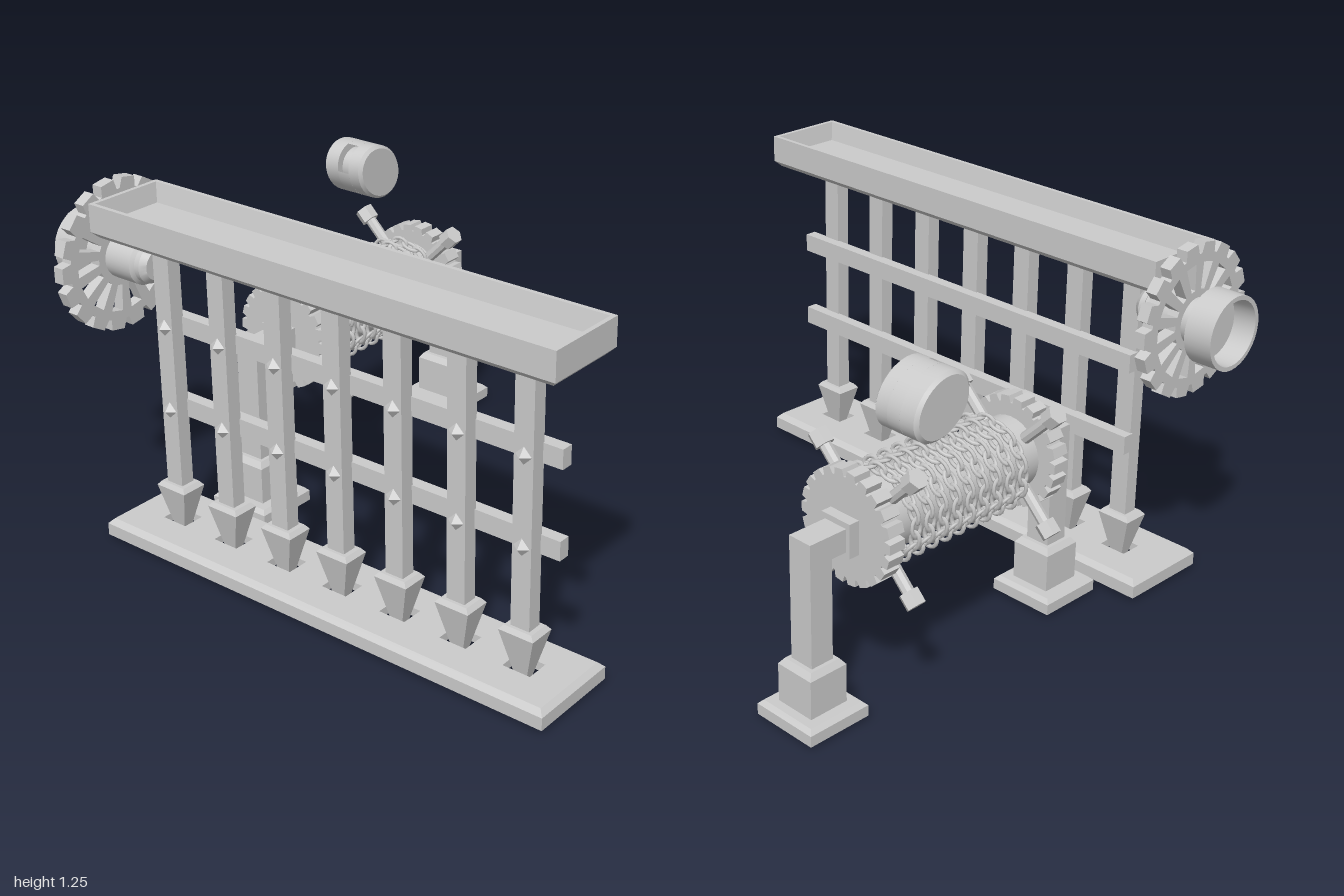
import * as THREE from 'three';
import { mergeGeometries, toCreasedNormals } from 'three/addons/utils/BufferGeometryUtils.js';

const smooth = new THREE.MeshStandardMaterial({ color: 0xcccccc });
const flat = new THREE.MeshStandardMaterial({ color: 0xcccccc, flatShading: true });

function add(parent, name, geo, x = 0, y = 0, z = 0, mat = flat) {
  const m = new THREE.Mesh(geo, mat);
  m.name = name;
  m.position.set(x, y, z);
  parent.add(m);
  return m;
}
const box = (w, h, d) => new THREE.BoxGeometry(w, h, d);
const lathe = (pts, n = 32) =>
  toCreasedNormals(new THREE.LatheGeometry(pts.map(p => new THREE.Vector2(...p)), n), 0.6);

// Stack of rectangular rings [width, depth, y] joined by flat sides
function rectLoft(rings) {
  const pos = [], sx = [1, 1, -1, -1], sz = [1, -1, -1, 1];
  const pt = (r, i) => [r[0] / 2 * sx[i % 4], r[2], r[1] / 2 * sz[i % 4]];
  for (let k = 0; k < rings.length - 1; k++) {
    const a = rings[k], b = rings[k + 1];
    for (let i = 0; i < 4; i++) {
      pos.push(...pt(a, i), ...pt(a, i + 1), ...pt(b, i + 1));
      pos.push(...pt(a, i), ...pt(b, i + 1), ...pt(b, i));
    }
  }
  const g = new THREE.BufferGeometry();
  g.setAttribute('position', new THREE.Float32BufferAttribute(pos, 3));
  g.computeVertexNormals();
  return g;
}

function polygon(points, Type = THREE.Shape) {
  return new Type(points.map(p => new THREE.Vector2(...p)));
}
const rect = (cx, w, h, Type) =>
  polygon([[cx - w / 2, -h / 2], [cx + w / 2, -h / 2], [cx + w / 2, h / 2], [cx - w / 2, h / 2]], Type);

// Chamfered plinth, hollow underneath, with optional square holes through the plate
function plinth(name, w, d, h, thick, c, rim, holeXs = []) {
  const g = new THREE.Group();
  g.name = name;
  add(g, name + 'Skirt', rectLoft([
    [w - rim * 4, d - rim * 4, h - thick], [w - rim * 2, d - rim * 2, 0],
    [w, d, 0], [w, d, h - c], [w - c * 2, d - c * 2, h]]));
  const s = rect(0, w - c * 2, d - c * 2);
  for (const x of holeXs) s.holes.push(rect(x, 0.1, 0.08, THREE.Path));
  const plate = new THREE.ExtrudeGeometry(s, { depth: thick, bevelEnabled: false });
  plate.rotateX(-Math.PI / 2);
  add(g, name + 'Plate', plate, 0, h - thick, 0);
  return g;
}

// Toothed disc in the XY plane, centred along z, with optional radial windows
function gear(n, rOut, rRoot, depth, windows = 0, w0 = 0, w1 = 0) {
  const at = (r, a) => [r * Math.cos(a), r * Math.sin(a)];
  const pts = [], step = Math.PI * 2 / n;
  for (let i = 0; i < n; i++)
    for (const [r, f] of [[rRoot, -0.42], [rOut, -0.3], [rOut, 0.3], [rRoot, 0.42]])
      pts.push(at(r, (i + f) * step));
  const s = polygon(pts);
  for (let i = 0; i < windows; i++) {
    const a = i / windows * Math.PI * 2, da = Math.PI / windows;
    s.holes.push(polygon([at(w0, a - da * 0.4), at(w1, a - da * 0.55),
      at(w1, a + da * 0.55), at(w0, a + da * 0.4)], THREE.Path));
  }
  const g = new THREE.ExtrudeGeometry(s, { depth, bevelEnabled: false });
  g.translate(0, 0, -depth / 2);
  return g;
}

function makeGate() {
  const gate = new THREE.Group();
  gate.name = 'gate';
  gate.position.z = 0.62;
  const xs = [...Array(7)].map((_, i) => -0.61 + i * 0.238);

  const sill = plinth('sill', 1.805, 0.33, 0.062, 0.03, 0.018, 0.02, xs.map(x => x - 0.0975));
  sill.position.set(0.0975, 0.016, 0);
  const beam = plinth('topBeam', 1.79, 0.295, 0.115, 0.05, 0.02, 0.015);
  beam.position.set(0.105, 1.215, 0);
  beam.rotation.x = Math.PI;
  gate.add(sill, beam);

  for (const x of xs) {
    add(gate, 'bar', box(0.068, 0.91, 0.052), x, 0.655, 0);
    add(gate, 'spike', rectLoft([[0, 0, 0], [0.022, 0.016, 0.002], [0.126, 0.096, 0.205],
      [0.1, 0.074, 0.22], [0, 0, 0.22]]), x, 0, 0);
    for (const y of [0.497, 0.795]) {
      const rivet = new THREE.ConeGeometry(0.03, 0.024, 4);
      rivet.rotateX(Math.PI / 2);
      add(gate, 'rivet', rivet, x, y, 0.037);
    }
  }
  for (const y of [0.497, 0.795]) add(gate, 'rail', box(1.57, 0.065, 0.042), 0.135, y, -0.042);
  return gate;
}

function makeWheel() {
  const wheel = new THREE.Group();
  wheel.name = 'gateWheel';
  wheel.position.set(0, 0.995, 0.62);
  const disc = gear(18, 0.26, 0.225, 0.04, 14, 0.105, 0.195);
  disc.rotateY(Math.PI / 2);
  add(wheel, 'toothedWheel', disc, -0.83);
  const shaft = lathe([[0, -0.92], [0.108, -0.92], [0.11, -1], [0.125, -1], [0.125, -0.9],
    [0.078, -0.9], [0.078, -0.7], [0.066, -0.69], [0.066, -0.67], [0.05, -0.65], [0, -0.65]]);
  shaft.rotateZ(-Math.PI / 2);
  add(wheel, 'hubAndCup', shaft, 0, 0, 0, smooth);
  return wheel;
}

// Helical chain made of alternating stretched links
function chainGeometry(radius, zStart, zEnd, turns, perTurn) {
  const links = [], n = turns * perTurn;
  for (let i = 0; i <= n; i++) {
    const a = -i / perTurn * Math.PI * 2;
    const N = new THREE.Vector3(Math.cos(a), Math.sin(a), 0);
    const T = new THREE.Vector3(Math.sin(a), -Math.cos(a), (zEnd - zStart) / (turns * Math.PI * 2 * radius)).normalize();
    const B = new THREE.Vector3().crossVectors(T, N);
    const m = i % 2 ? new THREE.Matrix4().makeBasis(T, N, B)
      : new THREE.Matrix4().makeBasis(T, B, N.clone().negate());
    m.setPosition(N.x * radius, N.y * radius, zStart + (zEnd - zStart) * i / n);
    const link = new THREE.TorusGeometry(0.018, 0.0065, 6, 12);
    link.scale(1.6, 1, 1);
    link.applyMatrix4(m);
    links.push(link);
  }
  return mergeGeometries(links);
}

function makeWinch() {
  const winch = new THREE.Group();
  winch.name = 'chainWinch';
  winch.position.set(-0.55, 0, -0.235);
  const cy = 0.607;

  const drum = new THREE.CylinderGeometry(0.122, 0.122, 0.7, 32);
  drum.rotateX(Math.PI / 2);
  add(winch, 'drum', drum, 0, cy, 0, smooth);
  add(winch, 'chain', chainGeometry(0.147, 0.26, -0.27, 9, 20), 0, cy, 0, smooth);

  for (const s of [1, -1]) {
    add(winch, 'drumGear', gear(22, 0.19, 0.168, 0.062), 0, cy, s * 0.36);
    add(winch, 'axleBlock', box(0.12, 0.115, 0.04), 0, cy - 0.01, s * 0.408);

    // Diagonal crank handles
    for (let k = 0; k < 4; k++) {
      const handle = new THREE.Group();
      handle.name = 'handle';
      add(handle, 'handleRod', new THREE.CylinderGeometry(0.02, 0.02, 0.18, 8), 0, 0.175, 0);
      add(handle, 'handleKnob', new THREE.CylinderGeometry(0.034, 0.034, 0.05, 6), 0, 0.277, 0);
      handle.position.set(0, cy, s * 0.303);
      handle.rotation.z = Math.PI / 4 + k * Math.PI / 2;
      winch.add(handle);
    }

    // Support: bent arm, socket and foot
    add(winch, 'arm', box(0.09, 0.078, 0.2), 0, 0.596, s * 0.47);
    add(winch, 'post', box(0.09, 0.435, 0.085), 0, 0.4175, s * 0.5275);
    add(winch, 'socket', rectLoft([[0.145, 0.145, 0.05], [0.145, 0.145, 0.195],
      [0.115, 0.115, 0.215], [0, 0, 0.215]]), 0, 0, s * 0.5275);
    const foot = plinth('foot', 0.24, 0.235, 0.052, 0.025, 0.014, 0.014);
    foot.position.set(0, 0.011, s * 0.5275);
    winch.add(foot);
  }
  return winch;
}

// Loose oval roller with a short notch in its side
function makeRoller() {
  const roller = new THREE.Group();
  roller.name = 'roller';
  const turn = g => { g.rotateZ(-Math.PI / 2); g.scale(1, 0.9, 1.15); return g; };
  const end = lathe([[0, -0.087], [0.094, -0.087], [0.105, -0.076], [0.105, -0.02], [0, -0.02]]);
  const far = lathe([[0, 0.03], [0.105, 0.03], [0.105, 0.076], [0.094, 0.087], [0, 0.087]]);
  add(roller, 'rollerEnd', turn(end), 0, 0, 0, smooth);
  add(roller, 'rollerEnd', turn(far), 0, 0, 0, smooth);
  add(roller, 'rollerCore', turn(new THREE.CylinderGeometry(0.08, 0.08, 0.06, 32)), 0, 0, 0, smooth);
  const band = new THREE.CylinderGeometry(0.105, 0.105, 0.05, 32, 1, true, 0.6, Math.PI * 2 - 1.2);
  band.translate(0, 0.005, 0);
  add(roller, 'rollerBand', turn(band), 0, 0, 0,
    new THREE.MeshStandardMaterial({ color: 0xcccccc, side: THREE.DoubleSide }));
  roller.position.set(-0.695, 1.022, -0.455);
  roller.rotation.x = -0.6;
  return roller;
}

export function createModel() {
  const model = new THREE.Group();
  model.name = 'gateAndWinch';
  model.add(makeGate(), makeWheel(), makeWinch(), makeRoller());
  return model;
}
